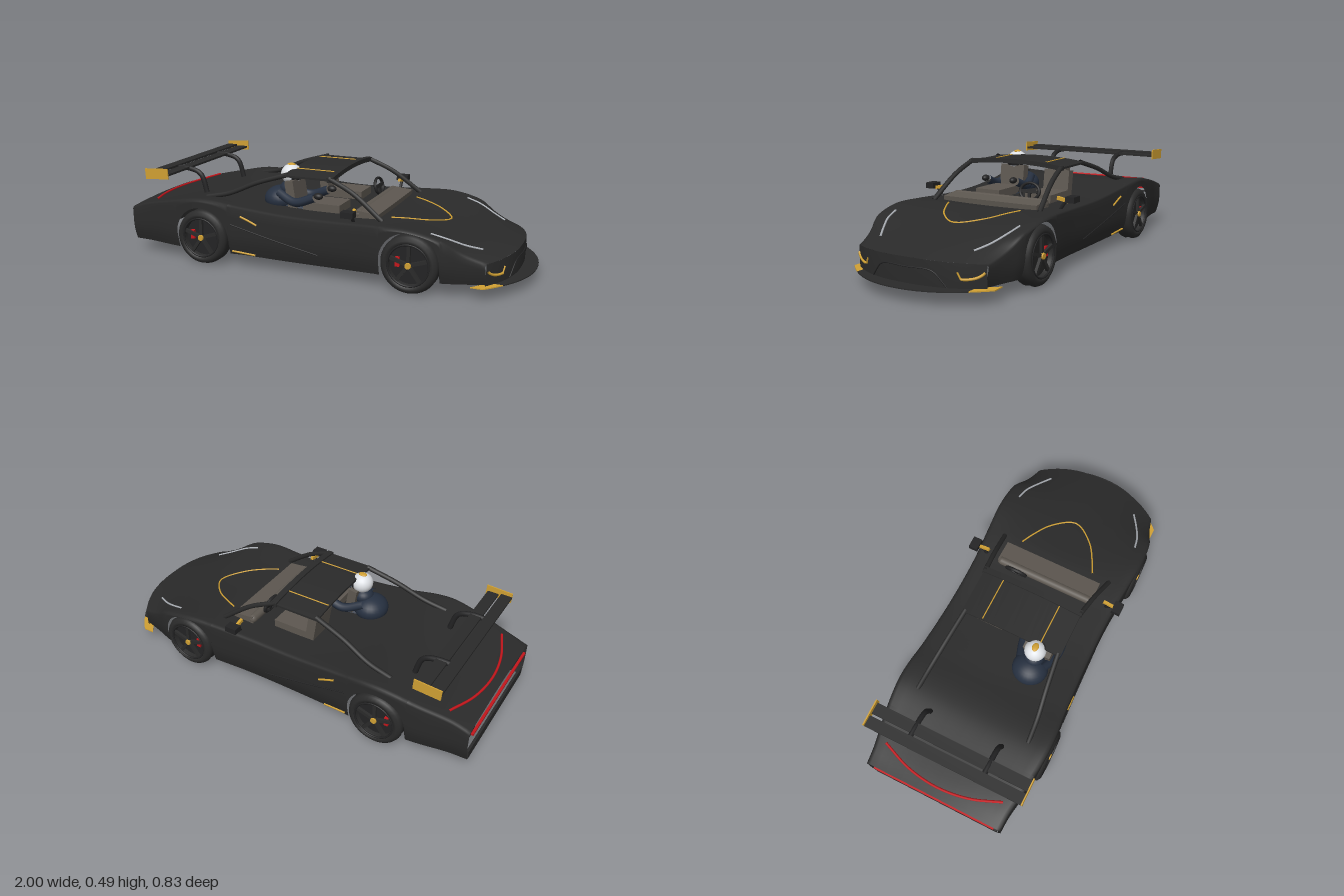
import * as THREE from 'three';

const mat = (name, color, side = THREE.FrontSide) => {
  const m = new THREE.MeshStandardMaterial({ color, side });
  m.name = name;
  return m;
};
const V = (x, y, z) => new THREE.Vector3(x, y, z);

// Body stations: x, half width, shoulder height, centre height
const KEYS = [
  [-0.99, 0.355, 0.24, 0.255], [-0.9, 0.36, 0.268, 0.27], [-0.75, 0.385, 0.3, 0.29],
  [-0.6, 0.4, 0.328, 0.31], [-0.5, 0.4, 0.328, 0.31], [-0.35, 0.388, 0.308, 0.295],
  [-0.1, 0.378, 0.288, 0.28], [0.15, 0.378, 0.288, 0.28], [0.35, 0.392, 0.296, 0.284],
  [0.5, 0.402, 0.295, 0.267], [0.65, 0.395, 0.262, 0.243], [0.8, 0.37, 0.212, 0.211],
  [0.93, 0.34, 0.168, 0.178]];

// Smooth interpolation of one station column
function station(x, c) {
  let i = 0;
  while (i < KEYS.length - 2 && x > KEYS[i + 1][0]) i++;
  const slope = (j) => {
    const a = KEYS[Math.max(j - 1, 0)], b = KEYS[Math.min(j + 1, KEYS.length - 1)];
    return (b[c] - a[c]) / (b[0] - a[0]);
  };
  const a = KEYS[i], b = KEYS[i + 1], h = b[0] - a[0], t = (x - a[0]) / h;
  return a[c] * (1 + 2 * t) * (1 - t) ** 2 + b[c] * t * t * (3 - 2 * t)
    + h * (slope(i) * t * (1 - t) ** 2 + slope(i + 1) * t * t * (t - 1));
}
// The nose sweeps back towards its corners
const sweep = (s, z) => s - 0.11 * (Math.abs(z) / 0.35) ** 2.5 * THREE.MathUtils.smoothstep(s, 0.6, 0.93);
const topPoint = (s, z, lift = 0) => {
  const r = z / (station(s, 1) - 0.02), yc = station(s, 3);
  return V(sweep(s, z), yc + (station(s, 2) - yc) * r * r + lift, z);
};
const sideZ = (s, y) => station(s, 1) - 0.022 * (Math.max(0, 0.17 - y) / 0.105) ** 2;

const AXLES = [-0.56, 0.5], ARCH = 0.145, WHEEL_Y = 0.14;
function lowerEdge(x) {
  let y = 0.065 - 0.008 * Math.max(0, 1 - (x / 0.33) ** 2);
  for (const a of AXLES) {
    const d = Math.abs(x - a);
    if (d < ARCH) y = Math.min(WHEEL_Y + Math.sqrt(ARCH * ARCH - d * d), station(x, 2) - 0.012);
  }
  return y;
}

// Surface through rows of points
function gridGeometry(rows) {
  const n = rows[0].length, index = [];
  for (let i = 0; i < rows.length - 1; i++) {
    for (let j = 0; j < n - 1; j++) {
      const a = i * n + j, b = a + n;
      index.push(a, a + 1, b, b, a + 1, b + 1);
    }
  }
  const g = new THREE.BufferGeometry().setFromPoints(rows.flat());
  g.setIndex(index);
  g.computeVertexNormals();
  return g;
}

export function createModel() {
  const model = new THREE.Group();
  const black = mat('body black', 0x2a2a2a, THREE.DoubleSide);
  const trim = mat('trim black', 0x232324);
  const tan = mat('seat grey', 0x5d5750);
  const gold = mat('gold', 0xd0a033);
  const red = mat('red', 0xc4161c);
  const white = mat('helmet white', 0xdfe2e6);
  const navy = mat('suit navy', 0x263040);
  const silver = mat('lamp silver', 0xa9adb3);

  const add = (name, geo, m, x = 0, y = 0, z = 0, parent = model) => {
    const mesh = new THREE.Mesh(geo, m);
    mesh.name = name;
    mesh.position.set(x, y, z);
    parent.add(mesh);
    return mesh;
  };
  const box = (name, w, h, d, m, x, y, z, parent) => add(name, new THREE.BoxGeometry(w, h, d), m, x, y, z, parent);
  const tube = (name, pts, r, m) =>
    add(name, new THREE.TubeGeometry(new THREE.CatmullRomCurve3(pts), 24, r, 8), m);
  const ball = (name, r, sx, sy, sz, m, x, y, z) => {
    const b = add(name, new THREE.SphereGeometry(r, 24, 16), m, x, y, z);
    b.scale.set(sx, sy, sz);
    return b;
  };

  // Body shell with wheel arches, open underneath
  const xs = [];
  for (let i = 0; i <= 96; i++) xs.push(-0.99 + 1.92 * i / 96);
  for (const a of AXLES) {
    for (const d of [0.9999, 0.99, 0.96, 1.002]) xs.push(a - ARCH * d, a + ARCH * d);
  }
  xs.sort((p, q) => p - q);
  const shell = xs.map((s) => {
    const W = station(s, 1), ys = station(s, 2), y0 = lowerEdge(s), half = [];
    for (let i = 0; i <= 5; i++) {
      const y = y0 + (ys - 0.011 - y0) * i / 5;
      const z = sideZ(s, y);
      half.push(V(sweep(s, z), y, z));
    }
    half.push(V(sweep(s, W - 0.006), ys - 0.003, W - 0.006));
    for (const f of [1, 0.9, 0.75, 0.5, 0.25]) half.push(topPoint(s, f * (W - 0.02)));
    return [...half, topPoint(s, 0), ...half.map((p) => V(p.x, p.y, -p.z)).reverse()];
  });
  add('bodyShell', gridGeometry(shell), black);

  // Nose bumper and its intake outline
  const nose = [];
  for (let i = 0; i <= 32; i++) {
    const z = -0.335 + 0.67 * i / 32, p = topPoint(0.93, z);
    nose.push([p, V(p.x + 0.002, 0.12, z), V(p.x, 0.065, z)]);
  }
  add('noseBumper', gridGeometry(nose), black);
  const onNose = (z, y) => V(sweep(0.93, z) + 0.003, y, z);
  tube('intakeOutline', [[-0.19, 0.07], [-0.17, 0.095], [-0.13, 0.133], [0, 0.138], [0.13, 0.133], [0.17, 0.095], [0.19, 0.07]]
    .map(([z, y]) => onNose(z, y)), 0.003, trim);

  // Flat front splitter with gold tips
  const blade = (name, z0, z1, m) => {
    const outer = [], inner = [];
    for (let i = 0; i <= 16; i++) {
      const z = z0 + (z1 - z0) * i / 16;
      outer.push(new THREE.Vector2(1 - 0.17 * (Math.abs(z) / 0.37) ** 2.2, z));
      inner.unshift(new THREE.Vector2(sweep(0.93, z) - 0.03, z));
    }
    const g = new THREE.ExtrudeGeometry(new THREE.Shape([...outer, ...inner]), { depth: 0.005, bevelEnabled: false });
    add(name, g.rotateX(Math.PI / 2), m, 0, 0.067, 0);
  };
  blade('splitter', -0.29, 0.29, black);

  // Rear: lower bar, lamp bar and curved deck lamp
  box('rearLowerBar', 0.012, 0.045, 0.66, black, -0.985, 0.088, 0);
  box('rearLampBar', 0.012, 0.01, 0.64, red, -0.99, 0.207, 0);
  tube('rearTrimBow', [V(-0.98, 0.2, -0.34), V(-0.95, 0.16, 0), V(-0.98, 0.2, 0.34)], 0.005, trim);
  tube('deckLamp', [-0.31, -0.16, 0, 0.16, 0.31].map((z) => topPoint(-0.945 + 0.075 * (z / 0.31) ** 2, z, 0.003)), 0.006, red);
  tube('hoodStripe', [-0.2, -0.17, -0.11, 0, 0.11, 0.17, 0.2]
    .map((z) => topPoint(0.585 - 0.235 * (Math.abs(z) / 0.2) ** 1.9, z, 0.001)), 0.004, gold);

  // Roof panel with crown, header bars and stripes
  const roofY = (z) => 0.474 - 0.26 * z * z;
  const crown = (g) => {
    const p = g.attributes.position;
    for (let i = 0; i < p.count; i++) p.setY(i, p.getY(i) + roofY(p.getZ(i)));
    g.computeVertexNormals();
    return g;
  };
  add('roof', crown(new THREE.BoxGeometry(0.23, 0.01, 0.52, 1, 1, 16)), black, -0.06, -0.006, 0);
  add('frontHeader', crown(new THREE.BoxGeometry(0.03, 0.022, 0.53, 1, 1, 16)), black, 0.065, -0.004, 0);

  // Rear wing
  box('wingRearPlane', 0.055, 0.01, 0.8, black, -0.835, 0.436, 0);
  box('wingFrontPlane', 0.055, 0.01, 0.8, black, -0.768, 0.43, 0);

  // Cabin: dashboard and steering wheel
  const dash = new THREE.CapsuleGeometry(0.022, 0.48, 6, 12).rotateX(Math.PI / 2);
  add('dashboardRoll', dash, tan, 0.205, 0.302, 0);
  box('dashboard', 0.11, 0.045, 0.52, tan, 0.25, 0.293, 0).rotation.z = -0.1;
  const steering = new THREE.Group();
  steering.name = 'steeringWheel';
  steering.position.set(0.165, 0.345, -0.142);
  steering.rotation.set(0, Math.PI / 2, 0);
  steering.rotateX(-0.25);
  model.add(steering);
  add('steeringRim', new THREE.TorusGeometry(0.052, 0.008, 10, 32).scale(1, 0.78, 1), trim, 0, 0, 0, steering);
  box('steeringBar', 0.1, 0.016, 0.01, trim, 0, 0, 0, steering);
  box('steeringStem', 0.014, 0.045, 0.01, trim, 0, -0.02, 0, steering);

  // Parts on both sides
  for (const s of [1, -1]) {
    blade('splitterTip', s * 0.29, s * 0.37, gold);
    tube('headlight', [[0.58, 0.335], [0.66, 0.32], [0.76, 0.285], [0.83, 0.246]]
      .map(([x, z]) => topPoint(x, s * z, 0.001)), 0.005, silver);
    tube('bumperLamp', [[0.33, 0.135], [0.322, 0.125], [0.3, 0.112], [0.27, 0.106], [0.245, 0.106]]
      .map(([z, y]) => onNose(s * z, y)), 0.006, gold);
    tube('bumperLampUpper', [[0.245, 0.106], [0.232, 0.136]].map(([z, y]) => onNose(s * z, y)), 0.004, gold);
    const onSide = (x, y) => V(x, y, s * (sideZ(x, y) + 0.001));
    tube('sideAccent', [onSide(-0.345, 0.264), onSide(-0.3, 0.246), onSide(-0.26, 0.228)], 0.005, gold);
    tube('sillAccent', [onSide(-0.4, 0.082), onSide(-0.34, 0.076), onSide(-0.28, 0.07)], 0.005, gold);
    tube('doorCrease', [onSide(-0.4, 0.22), onSide(-0.18, 0.165), onSide(0.05, 0.115)], 0.003, trim);
    tube('roofStripe', [V(-0.17, roofY(0.15) + 0.0, s * 0.15), V(0.05, roofY(0.15) + 0.0, s * 0.15)], 0.003, gold);
    tube('frontPillar', [V(0.06, 0.458, s * 0.255), V(0.19, 0.4, s * 0.272), V(0.34, 0.292, s * 0.295)], 0.012, black);
    tube('rearPillar', [V(-0.16, 0.455, s * 0.245), V(-0.32, 0.405, s * 0.265), V(-0.46, 0.345, s * 0.285), V(-0.58, 0.318, s * 0.295)], 0.012, black);
    box('wingEndPlate', 0.13, 0.052, 0.006, gold, -0.797, 0.436, s * 0.402).rotation.z = 0.06;
    tube('wingStrut', [V(-0.83, 0.426, s * 0.19), V(-0.74, 0.424, s * 0.19), V(-0.68, 0.4, s * 0.19), V(-0.645, 0.3, s * 0.19)], 0.013, trim);
    box('mirror', 0.06, 0.028, 0.045, trim, 0.212, 0.338, s * 0.395);
    const arm = box('mirrorArm', 0.014, 0.016, 0.06, gold, 0.215, 0.333, s * 0.348);
    arm.rotation.x = s * 0.2;
    tube('mirrorStem', [V(0.215, 0.28, s * 0.33), V(0.215, 0.325, s * 0.36)], 0.008, trim);

    // Seats
    const z = s * 0.145;
    box('seatCushion', 0.19, 0.05, 0.14, tan, 0, 0.295, z);
    box('seatBack', 0.045, 0.16, 0.14, tan, s > 0 ? -0.16 : -0.11, 0.335, z).rotation.z = 0.15;
    if (s < 0) box('headrest', 0.04, 0.035, 0.1, tan, -0.125, 0.422, z);

    // Driver limbs
    const dz = 0.14;
    tube('driverArm', [V(-0.23, 0.35, dz + s * 0.06), V(-0.13, 0.318, dz + s * 0.09), V(-0.03, 0.35, dz + s * 0.085)], 0.022, navy);
    ball('driverGlove', 0.02, 1.2, 0.8, 0.9, trim, -0.01, 0.358, dz + s * 0.083);
    tube('driverLeg', [V(-0.26, 0.27, dz + s * 0.035), V(-0.12, 0.265, dz + s * 0.045), V(0.04, 0.24, dz + s * 0.045)], 0.03, navy);
  }

  // Driver body and helmet
  ball('driverTorso', 0.085, 1, 0.75, 1.05, navy, -0.245, 0.31, 0.14);
  ball('driverChest', 0.055, 0.9, 0.7, 0.9, navy, -0.2, 0.365, 0.14);
  ball('helmet', 0.053, 1, 0.93, 1, white, -0.19, 0.436, 0.14);
  add('visor', new THREE.SphereGeometry(0.056, 24, 12, Math.PI - 1.15, 2.3, 0.95, 1.05), trim, -0.19, 0.436, 0.14);
  ball('helmetCrest', 0.02, 1.1, 0.35, 0.8, gold, -0.19, 0.483, 0.14);

  // Wheels
  const tyreProfile = [[0.088, -0.045], [0.115, -0.046], [0.13, -0.036], [0.136, -0.02], [0.131, 0], [0.136, 0.02],
    [0.13, 0.036], [0.115, 0.046], [0.1, 0.044], [0.094, 0.03], [0.088, -0.045]].map(([r, y]) => new THREE.Vector2(r, y));
  const tyre = new THREE.LatheGeometry(tyreProfile, 40).rotateX(Math.PI / 2);
  const disc = new THREE.CylinderGeometry(0.093, 0.093, 0.012, 32).rotateX(Math.PI / 2);
  const hub = new THREE.CylinderGeometry(0.014, 0.016, 0.012, 16).rotateX(Math.PI / 2);
  for (const x of AXLES) {
    for (const s of [1, -1]) {
      const wheel = new THREE.Group();
      wheel.name = 'wheel';
      wheel.position.set(x, 0.137, s * 0.362);
      wheel.scale.z = s;
      model.add(wheel);
      add('tyre', tyre, black, 0, 0, 0, wheel);
      add('rimDisc', disc, trim, 0, 0, 0.01, wheel);
      add('rimLip', new THREE.TorusGeometry(0.096, 0.005, 8, 40), trim, 0, 0, 0.042, wheel);
      for (let i = 0; i < 5; i++) {
        const a = Math.PI / 2 + i * Math.PI * 2 / 5;
        box('spoke', 0.09, 0.016, 0.014, black, Math.cos(a) * 0.05, Math.sin(a) * 0.05, 0.034, wheel).rotation.z = a;
      }
      box('caliper', 0.02, 0.045, 0.014, red, -0.055, 0.008, 0.022, wheel);
      add('hubCap', hub, gold, 0, 0, 0.042, wheel);
    }
  }
  return model;
}
